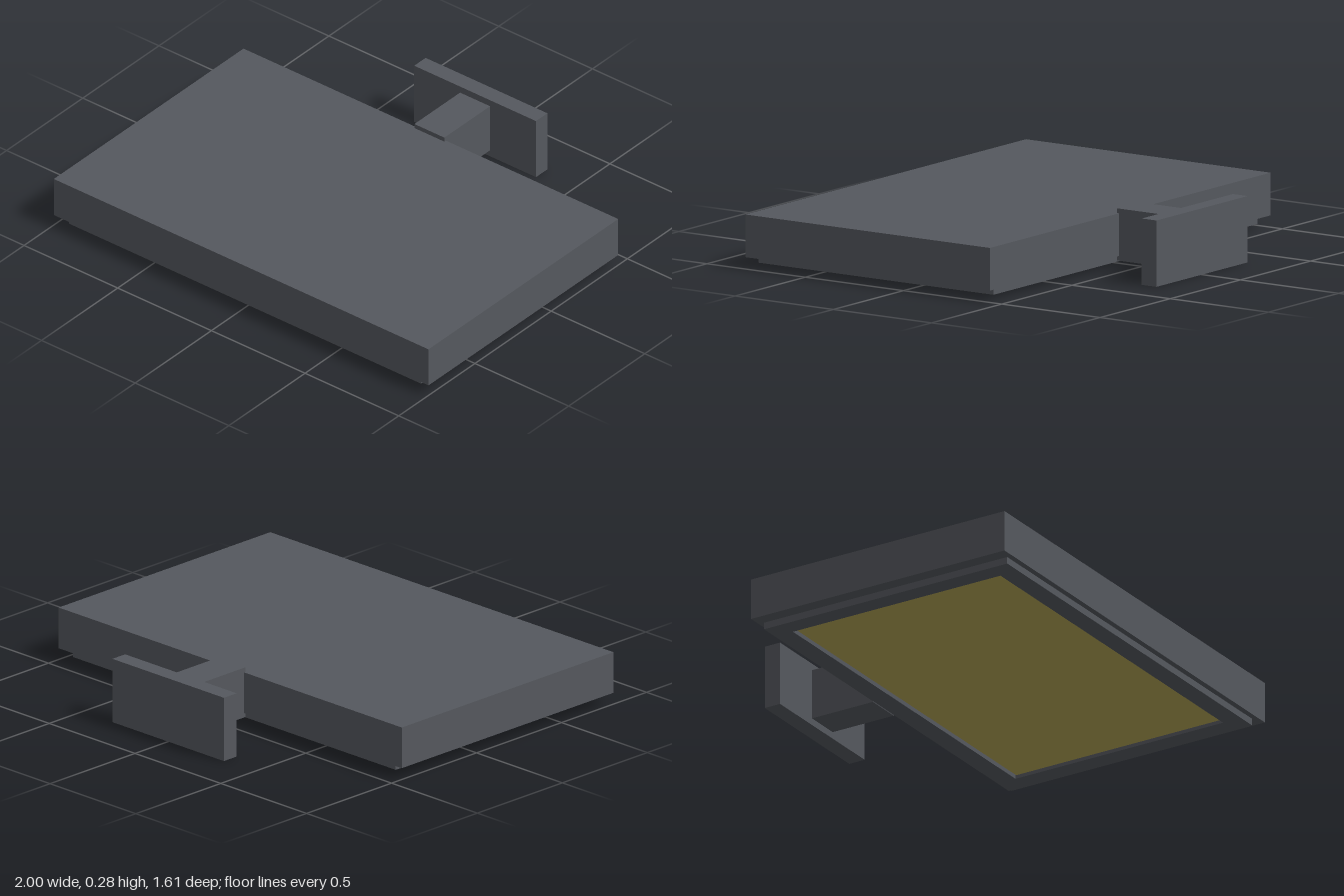
import * as THREE from 'three';

export function createModel() {
  const model = new THREE.Group();
  const metal = new THREE.MeshStandardMaterial({ color: 0x55585e });
  metal.name = 'dark grey metal';
  const glow = new THREE.MeshStandardMaterial({ color: 0xb3a455 });
  glow.name = 'yellow lens';

  // Box given by its limits on each axis, symmetric in x
  function box(name, halfX, y0, y1, z0, z1, material) {
    const mesh = new THREE.Mesh(new THREE.BoxGeometry(2 * halfX, y1 - y0, z1 - z0), material);
    mesh.position.set(0, (y0 + y1) / 2, (z0 + z1) / 2);
    mesh.name = name;
    model.add(mesh);
  }

  // Lamp housing, bracket arm and wall plate
  box('housing', 1, 0.05, 0.23, -0.44, 0.805, metal);
  box('arm', 0.08, 0.03, 0.25, -0.73, -0.43, metal);
  box('wallPlate', 0.325, 0, 0.28, -0.805, -0.73, metal);

  // Rim around the lens on the underside
  const rectangle = (Type, w, h) => new Type([
    new THREE.Vector2(-w, -h), new THREE.Vector2(w, -h),
    new THREE.Vector2(w, h), new THREE.Vector2(-w, h),
  ]);
  const outline = rectangle(THREE.Shape, 0.94, 0.5975);
  outline.holes.push(rectangle(THREE.Path, 0.855, 0.51));
  const rimGeometry = new THREE.ExtrudeGeometry(outline, { depth: 0.03, bevelEnabled: false });
  rimGeometry.rotateX(-Math.PI / 2);
  const rim = new THREE.Mesh(rimGeometry, metal);
  rim.position.set(0, 0.02, 0.1825);
  rim.name = 'lensRim';
  model.add(rim);

  // Lens panel recessed in the rim
  box('lens', 0.845, 0.03, 0.05, -0.3175, 0.6825, glow);

  return model;
}
